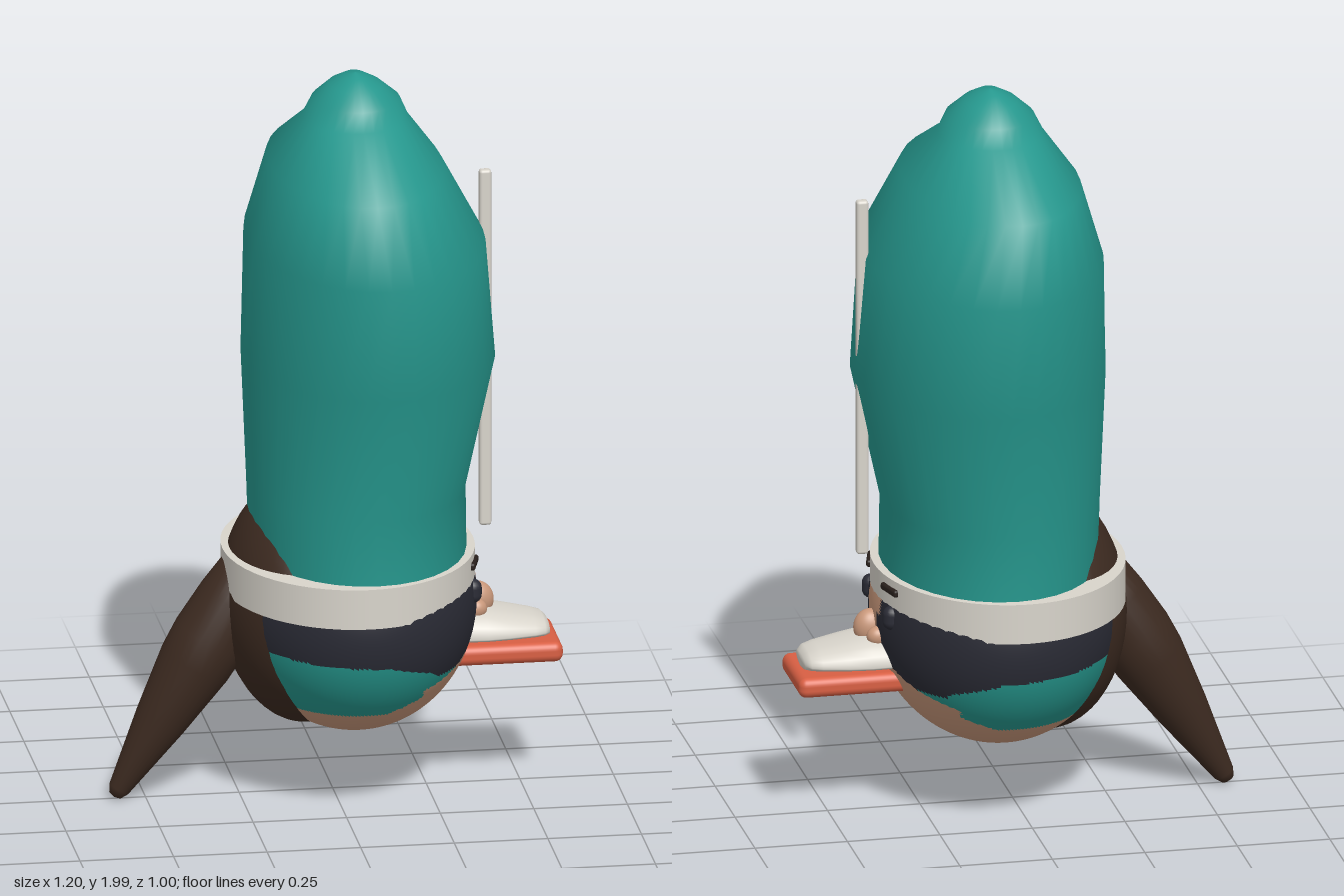
import * as THREE from 'three';
import { RoundedBoxGeometry } from 'three/addons/geometries/RoundedBoxGeometry.js';

const paint = (name, color) => {
  const m = new THREE.MeshStandardMaterial({ color });
  m.name = name;
  return m;
};

// Skin a list of equally sized closed rings of [x, y, z] points
function loft(rings) {
  const n = rings[0].length, index = [];
  for (let r = 0; r < rings.length - 1; r++) {
    for (let i = 0; i < n; i++) {
      const j = (i + 1) % n, a = r * n + i, b = r * n + j;
      index.push(a, b, b + n, a, b + n, a + n);
    }
  }
  const g = new THREE.BufferGeometry();
  g.setAttribute('position', new THREE.Float32BufferAttribute(rings.flat(2), 3));
  g.setIndex(index);
  g.computeVertexNormals();
  return g;
}

const ring = (n, point) => Array.from({ length: n }, (_, i) => point((i / n) * Math.PI * 2));

// Piecewise linear lookup through [x, y] points
function along(points, x) {
  if (x <= points[0][0]) return points[0][1];
  for (let i = 1; i < points.length; i++) {
    const [x0, y0] = points[i - 1], [x1, y1] = points[i];
    if (x <= x1) return y0 + ((y1 - y0) * (x - x0)) / (x1 - x0);
  }
  return points[points.length - 1][1];
}

const ellipsoid = (rx, ry, rz) => new THREE.SphereGeometry(1, 40, 28).scale(rx, ry, rz);

export function createModel() {
  const group = new THREE.Group();
  const teal = paint('teal', 0x26988e);
  const white = paint('offWhite', 0xd8d4cb);
  const brown = paint('darkBrown', 0x3c2a20);
  const slate = paint('slate', 0x2a2b35);
  const skin = paint('skin', 0xc8977a);
  const orange = paint('orange', 0xd85f43);
  const black = paint('nearBlack', 0x29201c);

  const add = (name, geometry, material, x = 0, y = 0, z = 0) => {
    const mesh = new THREE.Mesh(geometry, material);
    mesh.name = name;
    mesh.position.set(x, y, z);
    group.add(mesh);
    return mesh;
  };

  // Body: [y, back x, front x, half depth] from waist to rounded top
  const sections = [
    [0.60, -0.21, 0.34, 0.36], [0.69, -0.22, 0.352, 0.375], [0.86, -0.226, 0.35, 0.365],
    [1.22, -0.24, 0.428, 0.433], [1.55, -0.23, 0.40, 0.50], [1.755, -0.17, 0.29, 0.41],
    [1.88, -0.08, 0.20, 0.16], [1.93, -0.055, 0.178, 0.135], [1.97, -0.01, 0.13, 0.09],
    [1.992, 0.03, 0.09, 0.045], [2.0, 0.0595, 0.0605, 0.001],
  ];
  add('body', loft(sections.map(([y, back, front, rz]) => ring(32, (a) => [
    (back + front) / 2 + ((front - back) / 2) * Math.sin(a), y, rz * Math.cos(a),
  ]))), teal);

  // Head: one ellipsoid whose faces are grouped into mask, side and face colours
  const head = new THREE.SphereGeometry(1, 160, 90, 0, Math.PI * 2, Math.PI * 0.4, Math.PI * 0.6);
  head.scale(0.33, 0.36, 0.4).translate(0.05, 0.55, 0);
  const maskEdge = [[-0.2, 0.475], [0.1, 0.46], [0.22, 0.42], [0.24, 0.4], [0.38, 0.4]];
  const faceEdge = [[-0.05, 0.3], [0.1, 0.3], [0.2, 0.34], [0.3, 0.39], [0.34, 0.41]];
  const regionOf = (x, y, z) => {
    const w = Math.abs(z);
    const front = x > 0.2;
    if (y < along(faceEdge, x)) return 2;
    if (front && (y < 0.4 + (0.2 - w) * 0.4 || (w < 0.07 && y > 0.57) || w < 0.05)) return 2;
    return y > along(maskEdge, x) ? 1 : 0;
  };
  const pos = head.attributes.position, faces = [[], [], []];
  for (let i = 0; i < head.index.count; i += 3) {
    const tri = [0, 1, 2].map((k) => head.index.getX(i + k));
    const mid = (get) => tri.reduce((s, v) => s + pos[get](v), 0) / 3;
    faces[regionOf(mid('getX'), mid('getY'), mid('getZ'))].push(...tri);
  }
  head.setIndex(faces.flat());
  let start = 0;
  faces.forEach((f, i) => {
    head.addGroup(start, f.length, i);
    start += f.length;
  });
  add('head', head, [teal, slate, skin]);

  // Headband with two slots
  add('headband', new THREE.CylinderGeometry(1, 1, 0.11, 56).scale(0.335, 1, 0.402), white, 0.04, 0.635, 0);
  for (const s of [1, -1]) {
    const slot = add('bandSlot', new RoundedBoxGeometry(0.02, 0.02, 0.085, 2, 0.007), black, 0.357, 0.659, s * 0.125);
    slot.rotation.y = -s * 0.26;
    add('eye', new THREE.CapsuleGeometry(0.024, 0.018, 6, 16), slate, 0.355, 0.582, s * 0.13);
  }

  // Hair at the back and its hanging tail
  add('hair', ellipsoid(0.22, 0.33, 0.3), brown, -0.08, 0.54, 0);
  const tailProfile = [
    [0.001, -0.022], [0.018, -0.016], [0.029, 0.005], [0.07, 0.22], [0.098, 0.4],
    [0.102, 0.48], [0.095, 0.6], [0.082, 0.7], [0.045, 0.76], [0.001, 0.78],
  ].map(([r, t]) => new THREE.Vector2(r, t));
  const tail = add('hairTail', new THREE.LatheGeometry(tailProfile, 28), brown, -0.573, 0.03, 0);
  tail.rotation.z = -Math.atan2(0.51, 0.86);

  // Nose with nostrils
  add('nose', ellipsoid(0.045, 0.05, 0.036), skin, 0.385, 0.515, 0);
  for (const s of [1, -1]) add('nostril', ellipsoid(0.03, 0.027, 0.025), skin, 0.375, 0.505, s * 0.05);

  // Upper bill: [x, half width, top y], flat underneath and domed above
  const bill = [
    [0.28, 0.11, 0.505], [0.40, 0.115, 0.502], [0.46, 0.108, 0.49], [0.53, 0.093, 0.475],
    [0.558, 0.08, 0.467], [0.572, 0.06, 0.453], [0.574, 0.001, 0.44],
  ];
  add('upperBill', loft(bill.map(([x, w, top]) => ring(28, (a) => {
    const c = Math.cos(a), s = Math.sin(a);
    const y = c > 0 ? 0.437 + (top - 0.437) * c : 0.437 + 0.018 * c;
    return [x, y, w * Math.sign(s) * Math.pow(Math.abs(s), 0.75)];
  }))), white);

  // Lower bill plate
  add('lowerBill', new RoundedBoxGeometry(0.32, 0.055, 0.24, 4, 0.022), orange, 0.44, 0.392, 0);

  // Long thin strip down the front of the body
  add('frontStrip', new RoundedBoxGeometry(0.032, 0.99, 0.027, 2, 0.008), white, 0.407, 1.217, 0);

  return group;
}
